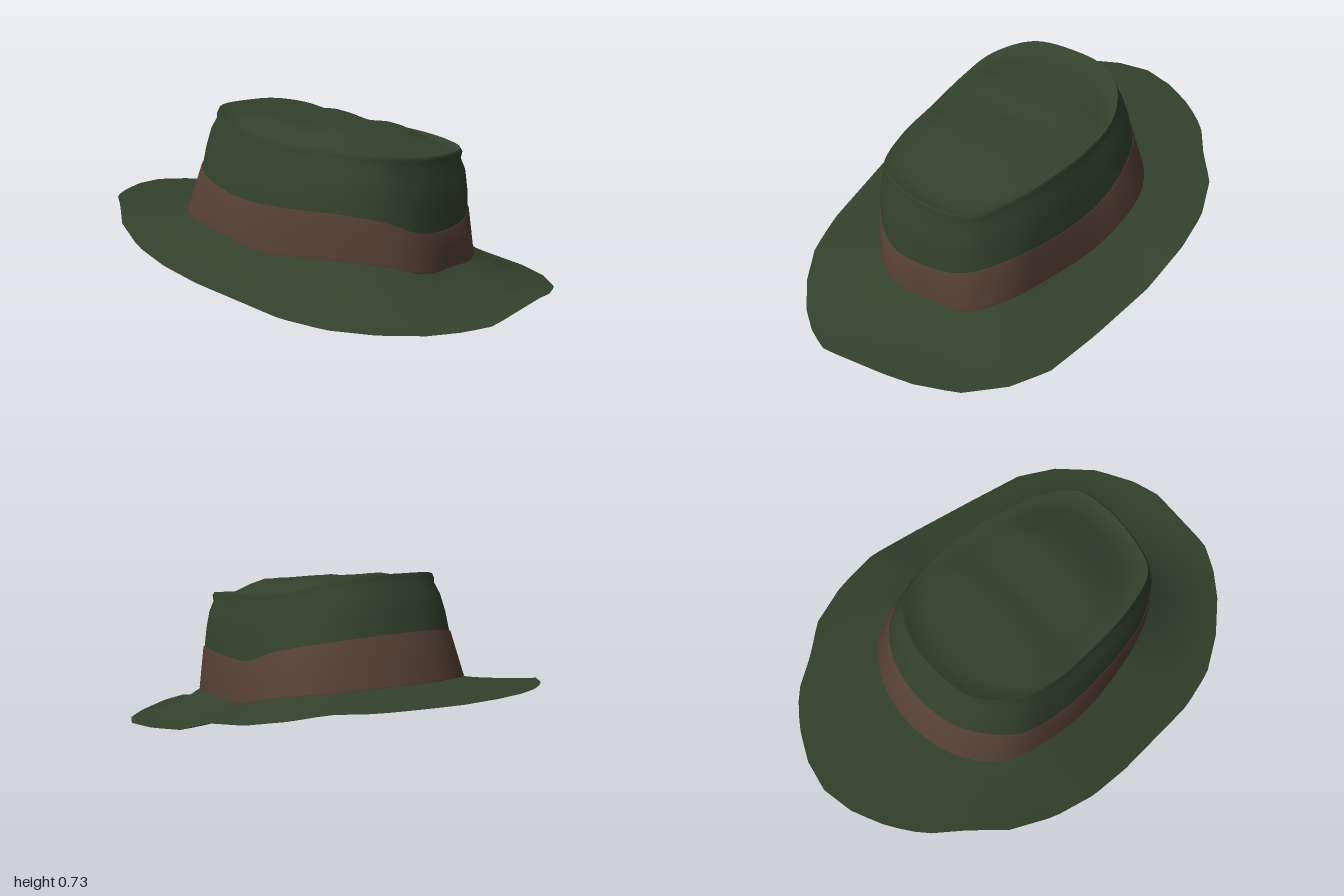
import * as THREE from 'three';

const N = 96;      // samples round the hat
const CZ = 0.05;   // z of the crown axis
const V = (x, y, z) => new THREE.Vector3(x, y, z);

// Resample a closed outline at even angles about the crown axis.
function ring(points, smooth) {
  let pts = points.map(p => V(...p));
  if (smooth) pts = new THREE.CatmullRomCurve3(pts, true).getPoints(300).slice(0, -1);
  const angle = p => Math.atan2(p.x, p.z - CZ);
  pts.sort((a, b) => angle(a) - angle(b));
  const first = pts[0], last = pts[pts.length - 1];
  const keys = [[angle(last) - 2 * Math.PI, last], ...pts.map(p => [angle(p), p]), [angle(first) + 2 * Math.PI, first]];
  return Array.from({ length: N }, (_, i) => {
    const a = -Math.PI + (i / N) * 2 * Math.PI;
    let k = 0;
    while (k < keys.length - 2 && keys[k + 1][0] < a) k++;
    const [a0, p0] = keys[k], [a1, p1] = keys[k + 1];
    return p0.clone().lerp(p1, (a - a0) / (a1 - a0 || 1));
  });
}

const mix = (A, B, t) => A.map((p, i) => p.clone().lerp(B[i], t));
const scaled = (A, s, dy = 0) => A.map(p => V(p.x * s, p.y + dy, CZ + (p.z - CZ) * s));

// Skin a stack of rings.
function loft(name, rings, material) {
  const pos = [], idx = [];
  rings.forEach(r => r.forEach(p => pos.push(p.x, p.y, p.z)));
  for (let r = 0; r < rings.length - 1; r++) {
    for (let i = 0; i < N; i++) {
      const j = (i + 1) % N, a = r * N + i, b = r * N + j;
      idx.push(a, b, a + N, b, b + N, a + N);
    }
  }
  const g = new THREE.BufferGeometry();
  g.setAttribute('position', new THREE.Float32BufferAttribute(pos, 3));
  g.setIndex(idx);
  g.computeVertexNormals();
  const mesh = new THREE.Mesh(g, material);
  mesh.name = name;
  return mesh;
}

// Wavy outer edge of the brim
const EDGE = [
  [-0.18, 0.02, 0.995], [0.12, 0.068, 0.99], [0.24, 0.06, 0.958], [0.4, 0.045, 0.877], [0.53, 0.048, 0.742],
  [0.61, 0.056, 0.59], [0.65, 0.08, 0.35], [0.69, 0.125, 0.05], [0.703, 0.19, -0.18], [0.672, 0.21, -0.38],
  [0.6, 0.245, -0.56], [0.5, 0.275, -0.67], [0.4, 0.29, -0.815], [0.28, 0.305, -0.905], [0.14, 0.317, -0.973],
  [0, 0.327, -1], [-0.14, 0.327, -0.973], [-0.28, 0.322, -0.905], [-0.4, 0.32, -0.815], [-0.5, 0.312, -0.68],
  [-0.6, 0.26, -0.55], [-0.672, 0.2, -0.37], [-0.707, 0.155, -0.18], [-0.707, 0.115, 0], [-0.672, 0.04, 0.4],
  [-0.62, 0.018, 0.58], [-0.52, 0.006, 0.735], [-0.4, 0.003, 0.863], [-0.29, 0.01, 0.945],
];
// Foot of the crown
const BASE = [
  [0, 0.32, -0.565], [0.2, 0.315, -0.525], [0.35, 0.295, -0.42], [0.43, 0.275, -0.28], [0.447, 0.245, -0.15],
  [0.43, 0.2, 0.05], [0.385, 0.195, 0.3], [0.325, 0.19, 0.5], [0.21, 0.155, 0.612], [0.05, 0.15, 0.632],
  [-0.13, 0.15, 0.637], [-0.25, 0.185, 0.562], [-0.345, 0.2, 0.4], [-0.41, 0.2, 0.15], [-0.43, 0.215, 0],
  [-0.425, 0.26, -0.2], [-0.38, 0.29, -0.38], [-0.22, 0.315, -0.52],
];
// Upper edge of the ribbon
const RIBBON = [
  [0, 0.51, -0.5], [0.2, 0.5, -0.46], [0.33, 0.475, -0.36], [0.4, 0.43, -0.17], [0.402, 0.375, 0],
  [0.38, 0.37, 0.25], [0.33, 0.375, 0.45], [0.22, 0.335, 0.58], [0.08, 0.3, 0.615], [-0.13, 0.3, 0.615],
  [-0.24, 0.345, 0.56], [-0.34, 0.375, 0.4], [-0.395, 0.38, 0.12], [-0.403, 0.4, -0.1], [-0.37, 0.46, -0.3],
  [-0.2, 0.5, -0.46],
];
// Crease round the top of the crown
const RIM = [
  [0, 0.73, -0.425], [0.15, 0.728, -0.405], [0.27, 0.705, -0.33], [0.34, 0.66, -0.2], [0.36, 0.635, 0],
  [0.345, 0.625, 0.2], [0.3, 0.608, 0.4], [0.22, 0.59, 0.55], [0.1, 0.582, 0.592], [-0.12, 0.582, 0.578],
  [-0.25, 0.597, 0.52], [-0.315, 0.605, 0.35], [-0.345, 0.615, 0.1], [-0.35, 0.645, -0.1], [-0.32, 0.685, -0.25],
  [-0.2, 0.722, -0.39],
];

export function createModel() {
  const green = new THREE.MeshStandardMaterial({ color: 0x34412d, side: THREE.DoubleSide });
  green.name = 'felt green';
  const brown = new THREE.MeshStandardMaterial({ color: 0x574135, side: THREE.DoubleSide });
  brown.name = 'ribbon brown';

  const edge = ring(EDGE, false), base = ring(BASE, true), ribbon = ring(RIBBON, true), rim = ring(RIM, true);
  const hat = new THREE.Group();
  hat.name = 'hat';

  // Brim sags between edge and crown, most of all at the front
  const brimRing = (t, drop) => mix(edge, base, t).map(p => {
    const sag = THREE.MathUtils.lerp(0.004, 0.026, THREE.MathUtils.smoothstep(p.z, 0, 0.7));
    return V(p.x, p.y - 4 * t * (1 - t) * sag - drop, p.z);
  });
  hat.add(loft('brim', [edge, ...[0.2, 0.45, 0.7, 0.88, 1].map(t => brimRing(t, 0))], green));

  // Crown wall, with a soft hollow below the rolled rim
  hat.add(loft('crown', [
    base, mix(base, ribbon, 0.5), ribbon,
    scaled(mix(ribbon, rim, 0.35), 1.012), scaled(mix(ribbon, rim, 0.65), 1.008),
    scaled(mix(ribbon, rim, 0.84), 0.982), scaled(rim, 1, -0.014), scaled(rim, 0.985),
  ], green));

  // Crown top: a gutter inside the rim, a front mound, a middle mound and a dent behind
  const bump = (z, at, width) => Math.exp(-(((z - at) / width) ** 2));
  const topRing = (s, rimShare, drop) => scaled(rim, s).map(p => {
    const y = 0.672 - 0.14 * p.z + 0.03 * bump(p.z, 0.25, 0.13)
      + 0.016 * bump(p.z, -0.08, 0.09) - 0.025 * bump(p.z, -0.3, 0.1);
    return V(p.x, THREE.MathUtils.lerp(y, p.y, rimShare) - drop, p.z);
  });
  hat.add(loft('crownTop', [
    scaled(rim, 0.985), topRing(0.95, 0.95, 0.006), topRing(0.89, 0.7, 0.015), topRing(0.8, 0.45, 0.012),
    topRing(0.68, 0.2, 0.004), ...[0.54, 0.4, 0.27, 0.13, 0.002].map(s => topRing(s, 0, 0)),
  ], green));

  // Lining: inside of the crown flaring smoothly into the underside of the brim
  hat.add(loft('lining', [
    topRing(0.002, 0, 0.016), topRing(0.4, 0, 0.016), topRing(0.75, 0.4, 0.022), scaled(rim, 0.955, -0.022),
    scaled(mix(ribbon, rim, 0.7), 0.972), scaled(ribbon, 0.975), scaled(mix(base, ribbon, 0.3), 0.975),
    scaled(base, 0.98, 0.004), brimRing(0.93, 0.014), brimRing(0.7, 0.014), brimRing(0.45, 0.014),
    brimRing(0.2, 0.01), edge,
  ], green));

  // Ribbon wrapped round the foot of the crown
  hat.add(loft('ribbon', [
    scaled(base, 1.002, -0.004), scaled(base, 1.007, 0.004), scaled(mix(base, ribbon, 0.5), 1.009),
    scaled(ribbon, 1.01), scaled(ribbon, 0.99, 0.002),
  ], brown));

  return hat;
}
